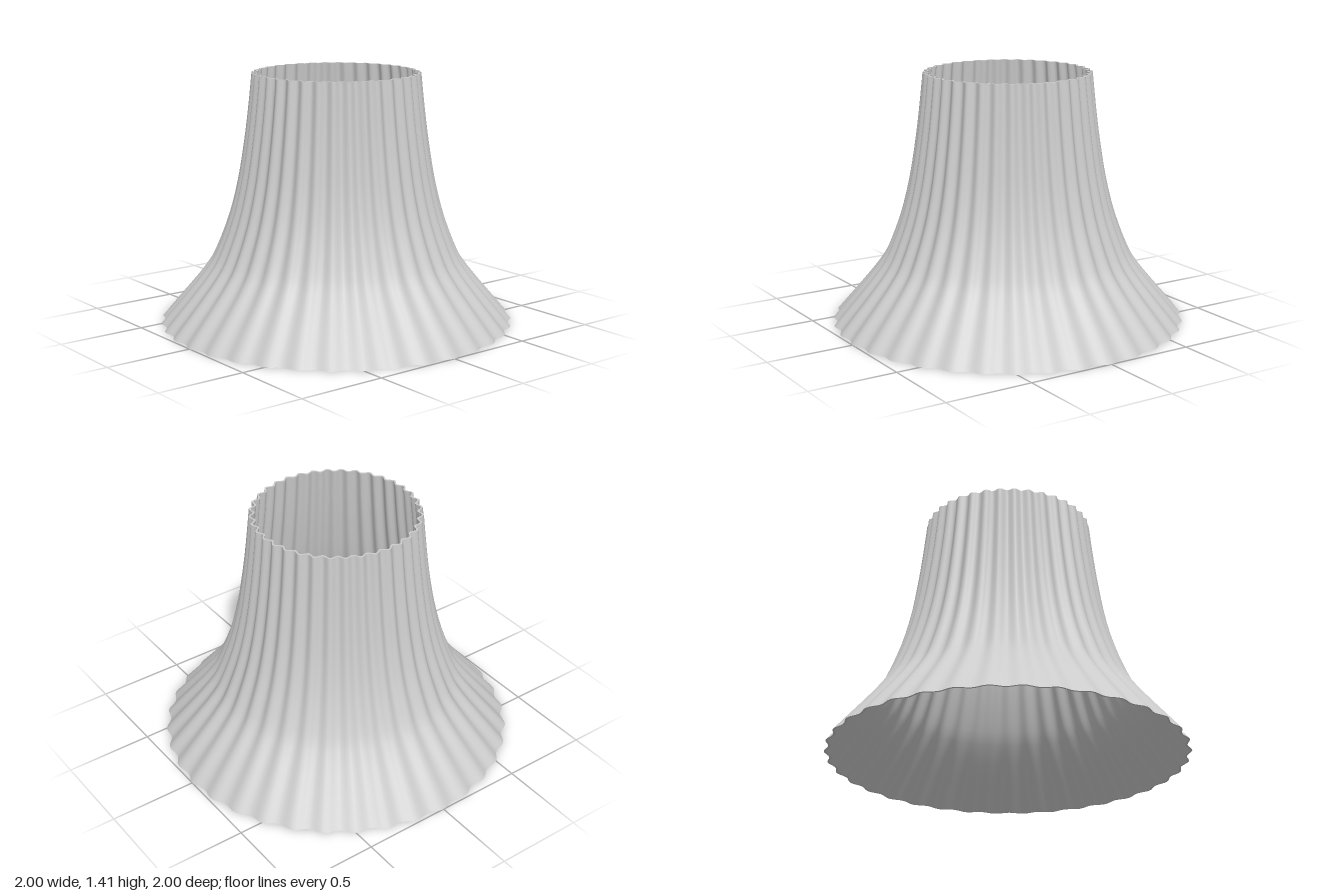
import * as THREE from 'three';
import { mergeVertices, toCreasedNormals } from 'three/addons/utils/BufferGeometryUtils.js';

const FLUTES = 36;      // pleats around the shade
const DEPTH = 0.0115;   // half the depth of a pleat
const WALL = 0.012;     // wall thickness

export function createModel() {
  const group = new THREE.Group();
  group.name = 'flutedShade';

  const grey = new THREE.MeshStandardMaterial({ color: 0xcccccc });
  grey.name = 'light grey';

  // Flared outline along the pleat crests, bottom to top
  const outline = new THREE.SplineCurve([
    [1, 0], [0.915, 0.1], [0.83, 0.2], [0.75, 0.3], [0.688, 0.4], [0.61, 0.6],
    [0.558, 0.8], [0.523, 1], [0.496, 1.2], [0.473, 1.415],
  ].map(([r, y]) => new THREE.Vector2(r, y)));

  // Closed wall section: up the outside, down the inside
  const outer = outline.getPoints(27);
  const inner = outer.map((p) => new THREE.Vector2(p.x - WALL, p.y)).reverse();
  const section = [...outer, ...inner, outer[0].clone()];
  let geometry = new THREE.LatheGeometry(section, FLUTES * 8);

  // Press the pleats into the wall
  const pos = geometry.attributes.position;
  for (let i = 0; i < pos.count; i++) {
    const x = pos.getX(i), z = pos.getZ(i);
    const angle = Math.atan2(x, z);
    const r = Math.hypot(x, z) - DEPTH * (1 - Math.cos(FLUTES * angle));
    pos.setX(i, r * Math.sin(angle));
    pos.setZ(i, r * Math.cos(angle));
  }

  // Smooth walls with sharp rims
  geometry.deleteAttribute('normal');
  geometry.deleteAttribute('uv');
  geometry = toCreasedNormals(mergeVertices(geometry, 1e-5), 0.7);

  const shade = new THREE.Mesh(geometry, grey);
  shade.name = 'shade';
  group.add(shade);
  return group;
}
